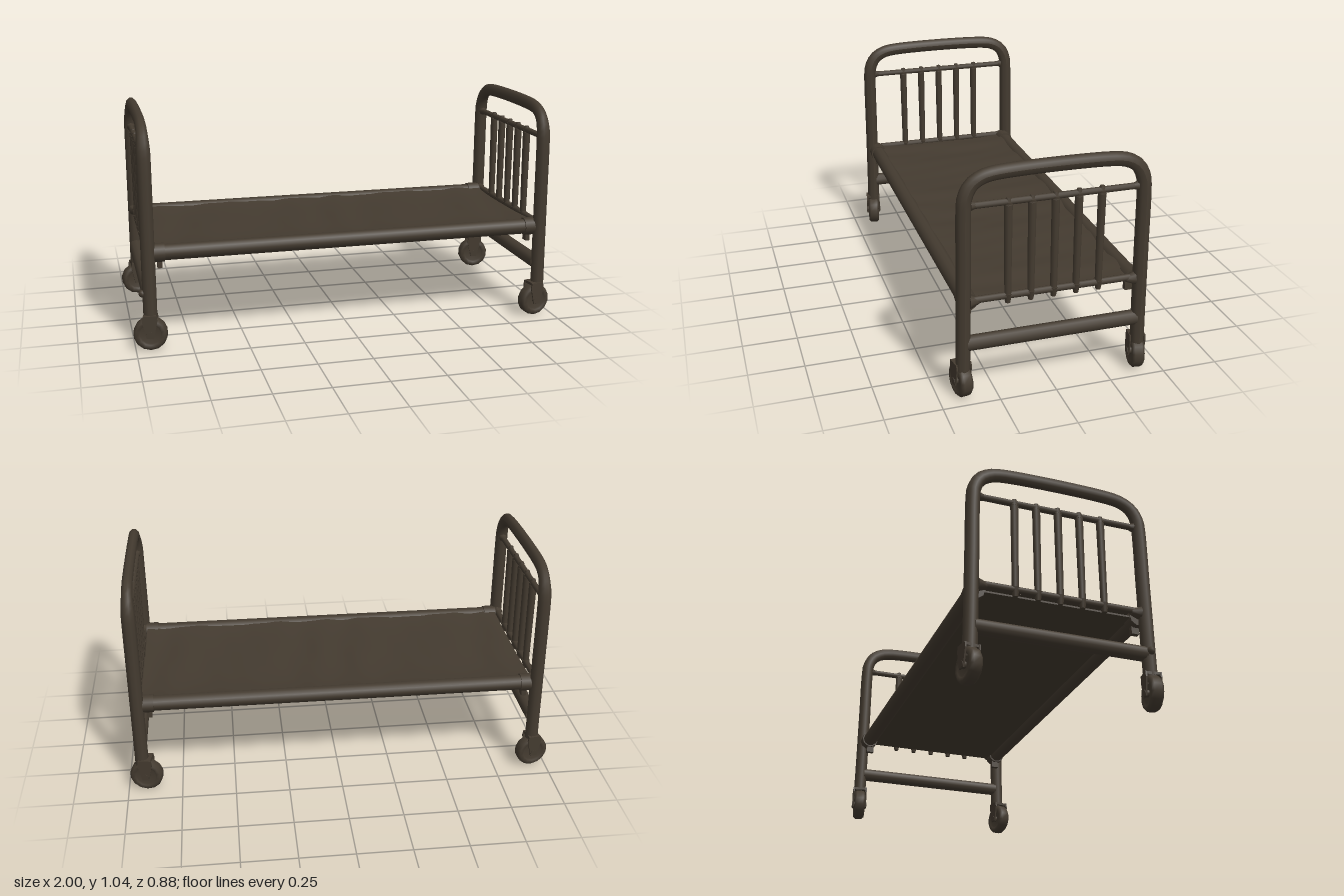
import * as THREE from 'three';

const iron = new THREE.MeshStandardMaterial({ color: 0x443b30 });
iron.name = 'darkIron';
const cloth = new THREE.MeshStandardMaterial({ color: 0x443b30, side: THREE.DoubleSide });
cloth.name = 'dullCloth';

function add(parent, name, geometry, x = 0, y = 0, z = 0, material = iron) {
  const mesh = new THREE.Mesh(geometry, material);
  mesh.name = name;
  mesh.position.set(x, y, z);
  parent.add(mesh);
  return mesh;
}

// Straight round bar along x, y or z
function bar(parent, name, axis, length, radius, x, y, z, endRadius = radius) {
  const g = new THREE.CylinderGeometry(radius, endRadius, length, 10);
  if (axis === 'x') g.rotateZ(Math.PI / 2);
  if (axis === 'z') g.rotateX(Math.PI / 2);
  return add(parent, name, g, x, y, z);
}

// Wheel with tyre, hub and fork
function caster(turn) {
  const group = new THREE.Group();
  group.name = 'caster';
  const profile = [[0, -0.018], [0.045, -0.018], [0.05, -0.027], [0.066, -0.027], [0.076, -0.016],
    [0.076, 0.016], [0.066, 0.027], [0.05, 0.027], [0.045, 0.018], [0, 0.018]];
  const wheel = new THREE.LatheGeometry(profile.map(p => new THREE.Vector2(...p)), 14);
  wheel.rotateX(Math.PI / 2);
  add(group, 'wheel', wheel, 0, 0.076, 0);
  bar(group, 'axle', 'z', 0.076, 0.016, 0, 0.076, 0);
  const plate = new THREE.Shape([[-0.016, 0.06], [0.016, 0.06], [0.034, 0.14], [0.03, 0.165], [-0.03, 0.165], [-0.034, 0.14]]
    .map(p => new THREE.Vector2(...p)));
  for (const s of [-1, 1]) {
    const g = new THREE.ExtrudeGeometry(plate, { depth: 0.007, bevelEnabled: false });
    add(group, 'forkPlate', g, 0, 0, s * 0.032 - 0.0035);
  }
  add(group, 'forkCrown', new THREE.BoxGeometry(0.056, 0.012, 0.07), 0, 0.159, 0);
  group.rotation.y = turn;
  return group;
}

// Head or foot frame, standing in the yz plane
function endFrame(side) {
  const group = new THREE.Group();
  group.name = side < 0 ? 'headFrame' : 'footFrame';
  const half = [[0.396, 0.11], [0.393, 0.25], [0.389, 0.6], [0.386, 0.86], [0.381, 0.91],
    [0.355, 0.962], [0.31, 0.991], [0.25, 1.003]];
  const points = [...half, ...half.map(([z, y]) => [-z, y]).reverse()].map(([z, y]) => new THREE.Vector3(0, y, z));
  const arch = new THREE.TubeGeometry(new THREE.CatmullRomCurve3(points, false, 'centripetal'), 90, 0.031, 10);
  // The tube is slimmer across the top
  const p = arch.attributes.position;
  for (let i = 0; i < p.count; i++) {
    const t = THREE.MathUtils.smoothstep(p.getY(i), 0.88, 1.0);
    p.setX(i, p.getX(i) * (1 - 0.22 * t));
  }
  arch.computeVertexNormals();
  add(group, 'archTube', arch);

  bar(group, 'upperRail', 'z', 0.76, 0.014, 0, 0.873, 0);
  bar(group, 'lowerRail', 'z', 0.76, 0.015, 0, 0.453, 0);
  bar(group, 'crossBar', 'z', 0.76, 0.033, 0, 0.255, 0);
  for (let i = -2; i <= 2; i++) {
    bar(group, 'spindle', 'y', 0.43, 0.018, 0, 0.658, i * 0.1, 0.015);
    bar(group, 'spindleTop', 'y', 0.032, 0.01, 0, 0.876, i * 0.1, 0.019);
    bar(group, 'spindleFoot', 'y', 0.042, 0.019, 0, 0.441, i * 0.1, 0.011);
  }
  for (const s of [-1, 1]) {
    // Flared joints where the rails meet the posts
    const flare = new THREE.CylinderGeometry(0.014, 0.03, 0.04, 8);
    flare.rotateX(-s * Math.PI / 2);
    add(group, 'lowerRailJoint', flare, 0, 0.447, s * 0.345);
    const small = new THREE.CylinderGeometry(0.014, 0.02, 0.02, 8);
    small.rotateX(-s * Math.PI / 2);
    add(group, 'upperRailJoint', small, 0, 0.873, s * 0.348);
    const c = caster(side * s * 0.16);
    c.position.set(side < 0 ? -0.002 : -0.018, 0, s * 0.398);
    group.add(c);
  }
  group.position.x = side * 0.93;
  return group;
}

// Creased sheet that sags between the side rails
function sheetGeometry() {
  const g = new THREE.PlaneGeometry(1.82, 0.75, 72, 16);
  g.rotateX(-Math.PI / 2);
  const p = g.attributes.position;
  for (let i = 0; i < p.count; i++) {
    const x = p.getX(i), z = p.getZ(i);
    const edge = Math.abs(z) / 0.375;
    const crease = Math.sin(x * 21 + z * 4 + Math.sin(x * 7) * 1.5) * 0.004
      + Math.sin(x * 47 - z * 9) * 0.0015;
    p.setY(i, 0.449 + 0.016 * edge ** 4 + crease * (1 - 0.5 * edge));
  }
  g.computeVertexNormals();
  return g;
}

export function createModel() {
  const bed = new THREE.Group();
  bed.name = 'bed';
  for (const side of [-1, 1]) bed.add(endFrame(side));

  for (const s of [-1, 1]) {
    bar(bed, 'sideRail', 'x', 1.82, 0.036, 0, 0.437, s * 0.367);
    for (const e of [-1, 1]) {
      // Corner sockets and their hooks
      bar(bed, 'cornerSocket', 'x', 0.06, 0.042, e * 0.885, 0.437, s * 0.367);
      add(bed, 'cornerHook', new THREE.BoxGeometry(0.022, 0.045, 0.035), e * 0.877, 0.39, s * 0.362);
    }
  }
  add(bed, 'bolt', new THREE.SphereGeometry(0.018, 8, 6), -0.96, 0.26, 0.39);

  add(bed, 'sheet', sheetGeometry(), 0, 0, 0, cloth);
  add(bed, 'basePanel', new THREE.BoxGeometry(1.82, 0.008, 0.72), 0, 0.434, 0);
  return bed;
}
